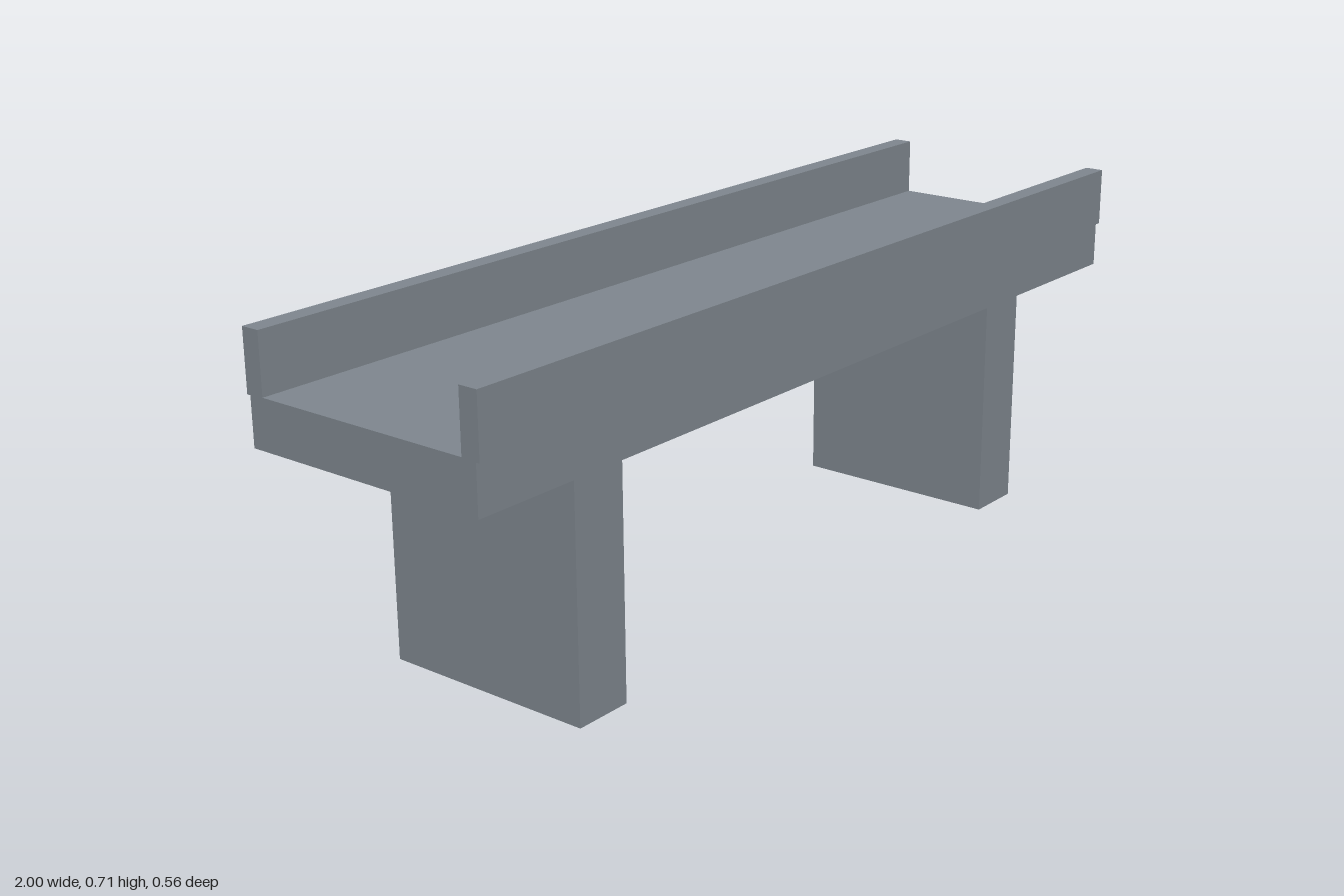
import * as THREE from 'three';

export function createModel() {
  const group = new THREE.Group();
  const concrete = new THREE.MeshStandardMaterial({ color: 0x808890 });
  concrete.name = 'concrete grey';

  // Box given by its size, the height of its base, and its centre in x and z
  const addBox = (name, [w, h, d], base, x = 0, z = 0) => {
    const mesh = new THREE.Mesh(new THREE.BoxGeometry(w, h, d), concrete);
    mesh.name = name;
    mesh.position.set(x, base + h / 2, z);
    group.add(mesh);
  };

  // Deck slab
  addBox('deck', [2, 0.099, 0.542], 0.493);

  for (const side of [1, -1]) {
    const lr = side > 0 ? 'left' : 'right';
    const fb = side > 0 ? 'front' : 'back';
    // Wall pier under each end of the deck
    addBox(`${lr}Pier`, [0.125, 0.493, 0.459], 0, side * 0.667);
    // Parapet along each long edge, slightly overhanging the deck
    addBox(`${fb}Parapet`, [2, 0.123, 0.04], 0.59, 0, side * 0.259);
  }
  return group;
}
